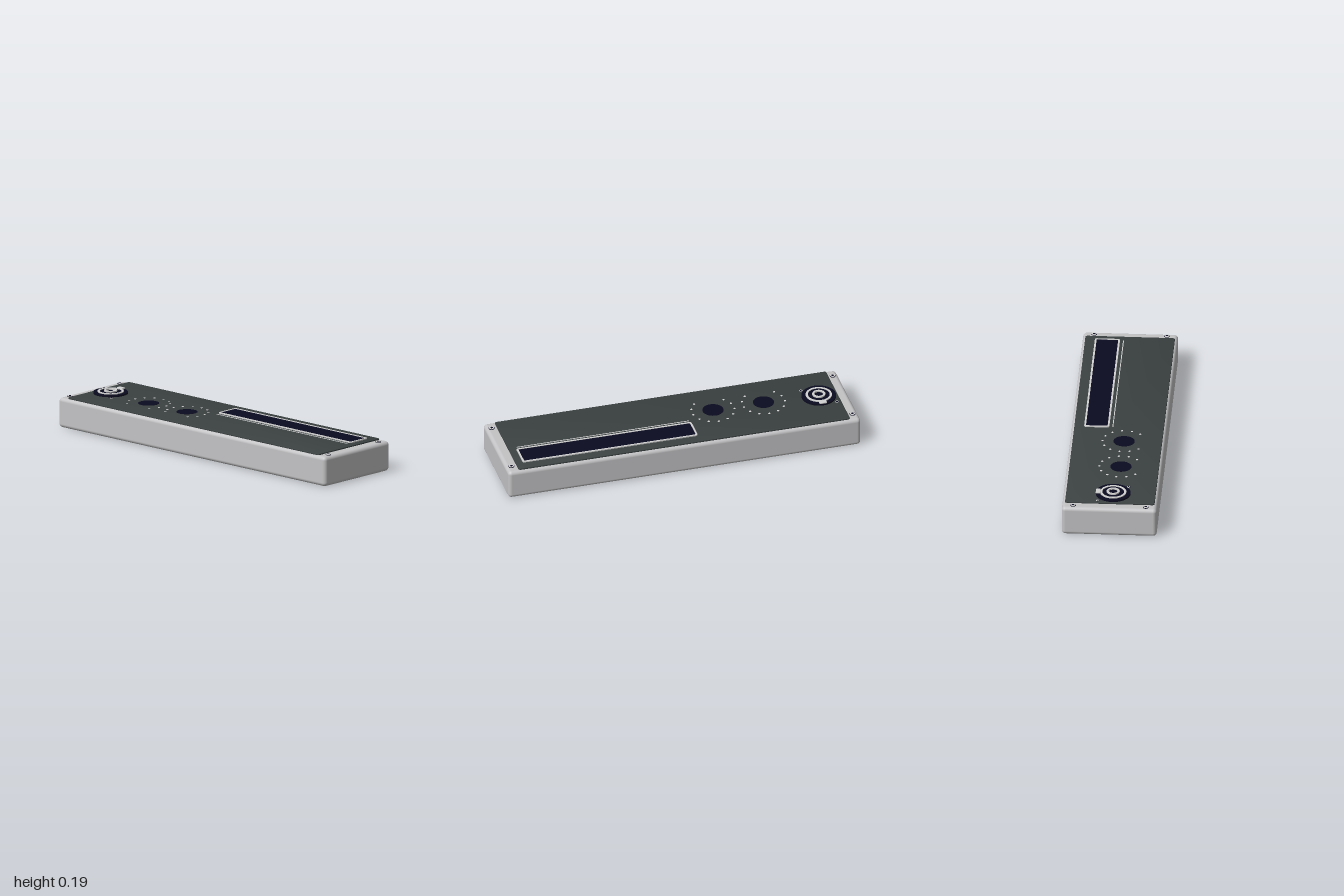
import * as THREE from 'three';
import { toCreasedNormals } from 'three/addons/utils/BufferGeometryUtils.js';
import { RoundedBoxGeometry } from 'three/addons/geometries/RoundedBoxGeometry.js';

const flat = (name, color) => {
  const m = new THREE.MeshStandardMaterial({ color });
  m.name = name;
  return m;
};

// Rounded rectangle outline, as a Shape or a hole Path
function roundedRect(w, h, r, Type = THREE.Shape) {
  const s = new Type();
  const x = w / 2, y = h / 2;
  s.moveTo(-x + r, -y);
  s.lineTo(x - r, -y);
  s.absarc(x - r, -y + r, r, -Math.PI / 2, 0);
  s.lineTo(x, y - r);
  s.absarc(x - r, y - r, r, 0, Math.PI / 2);
  s.lineTo(-x + r, y);
  s.absarc(-x + r, y - r, r, Math.PI / 2, Math.PI);
  s.lineTo(-x, -y + r);
  s.absarc(-x + r, -y + r, r, Math.PI, Math.PI * 1.5);
  return s;
}

// Extrudes a shape upward from y = 0
function slab(shape, depth, bevel = 0) {
  const g = new THREE.ExtrudeGeometry(shape, {
    depth: depth - 2 * bevel, curveSegments: 6,
    bevelEnabled: bevel > 0, bevelSize: bevel, bevelThickness: bevel, bevelOffset: -bevel, bevelSegments: 2,
  });
  g.translate(0, 0, bevel);
  g.rotateX(-Math.PI / 2);
  return toCreasedNormals(g, 0.7);
}

// Flat ring with a rectangular section, lathed about y
function ring(inner, outer, height) {
  const pts = [[inner, 0], [outer, 0], [outer, height], [inner, height], [inner, 0]];
  return toCreasedNormals(new THREE.LatheGeometry(pts.map(p => new THREE.Vector2(...p)), 48), 0.7);
}

function disc(r, h, sides = 40) {
  return new THREE.CylinderGeometry(r, r, h, sides).translate(0, h / 2, 0);
}

export function createModel() {
  const model = new THREE.Group();
  const shell = flat('shell grey', 0xc3c3c5);
  const panel = flat('panel charcoal', 0x3b4141);
  const navy = flat('dark navy', 0x0b0b20);
  const trim = flat('pale trim', 0xd2d2d2);

  const add = (name, geo, mat, x = 0, y = 0, z = 0, parent = model) => {
    const m = new THREE.Mesh(geo, mat);
    m.name = name;
    m.position.set(x, y, z);
    parent.add(m);
    return m;
  };
  const group = (name, x, y, z) => {
    const g = new THREE.Group();
    g.name = name;
    g.position.set(x, y, z);
    model.add(g);
    return g;
  };

  // Enclosure and face panel
  const top = 0.174;
  add('enclosure', new RoundedBoxGeometry(2, 0.167, 0.52, 5, 0.021), shell, 0, 0.0835, 0);
  add('facePanel', slab(roundedRect(1.882, 0.49, 0.012), 0.012, 0.003), panel, -0.002, top - 0.012, 0);

  // Display window with a raised frame and an underline
  const display = group('display', 0.403, top, -0.122);
  const frame = roundedRect(0.994, 0.138, 0.012);
  frame.holes.push(roundedRect(0.974, 0.118, 0.006, THREE.Path));
  add('displayFrame', slab(frame, 0.006), trim, 0, 0, 0, display);
  add('displayWindow', slab(roundedRect(0.978, 0.122, 0.006), 0.004), navy, 0, 0, 0, display);
  add('underline', new THREE.BoxGeometry(0.98, 0.002, 0.005), trim, 0, 0.001, 0.088, display);

  // Two dial openings with scale dots over 270 degrees
  for (const x of [-0.53, -0.243]) {
    const dial = group('dial', x, top, 0.037);
    add('dialOpening', disc(0.058, 0.001), navy, 0, 0, 0, dial);
    const dot = disc(0.0065, 0.0015, 12);
    for (let i = 0; i < 11; i++) {
      const a = (i / 10 - 0.5) * Math.PI * 1.5;
      add('scaleDot', dot, trim, Math.sin(a) * 0.118, 0, -Math.cos(a) * 0.118, dial);
    }
  }

  // Round socket: dark flange, two pale rings and a latch tab
  const socket = group('socket', -0.837, top, 0.013);
  add('flange', disc(0.095, 0.009, 48), navy, 0, 0, 0, socket);
  add('outerRing', ring(0.06, 0.072, 0.014), trim, 0, 0, 0, socket);
  add('socketInsert', disc(0.061, 0.011, 48), navy, 0, 0, 0, socket);
  add('innerRing', ring(0.025, 0.036, 0.019), trim, 0, 0, 0, socket);
  add('latchTab', new RoundedBoxGeometry(0.042, 0.009, 0.026, 2, 0.003), trim, 0, 0.0135, -0.082, socket);

  // Screws: pale head with a dark recess
  const screw = (name, x, y, z, r, recess) => {
    const s = group(name, x, y, z);
    add('screwHead', disc(r, 0.005, 24), trim, 0, 0, 0, s);
    add('screwRecess', disc(recess, 0.0056, 6), navy, 0, 0, 0, s);
    add('screwRim', ring(r - 0.001, r + 0.002, 0.003), navy, 0, 0, 0, s);
  };
  for (const x of [-0.968, 0.968])
    for (const z of [-0.199, 0.199]) screw('cornerScrew', x, 0.1665, z, 0.014, 0.008);
  screw('socketScrew', -0.917, top - 0.003, -0.068, 0.009, 0.006);
  screw('socketScrew', -0.757, top - 0.003, 0.092, 0.009, 0.006);

  return model;
}
